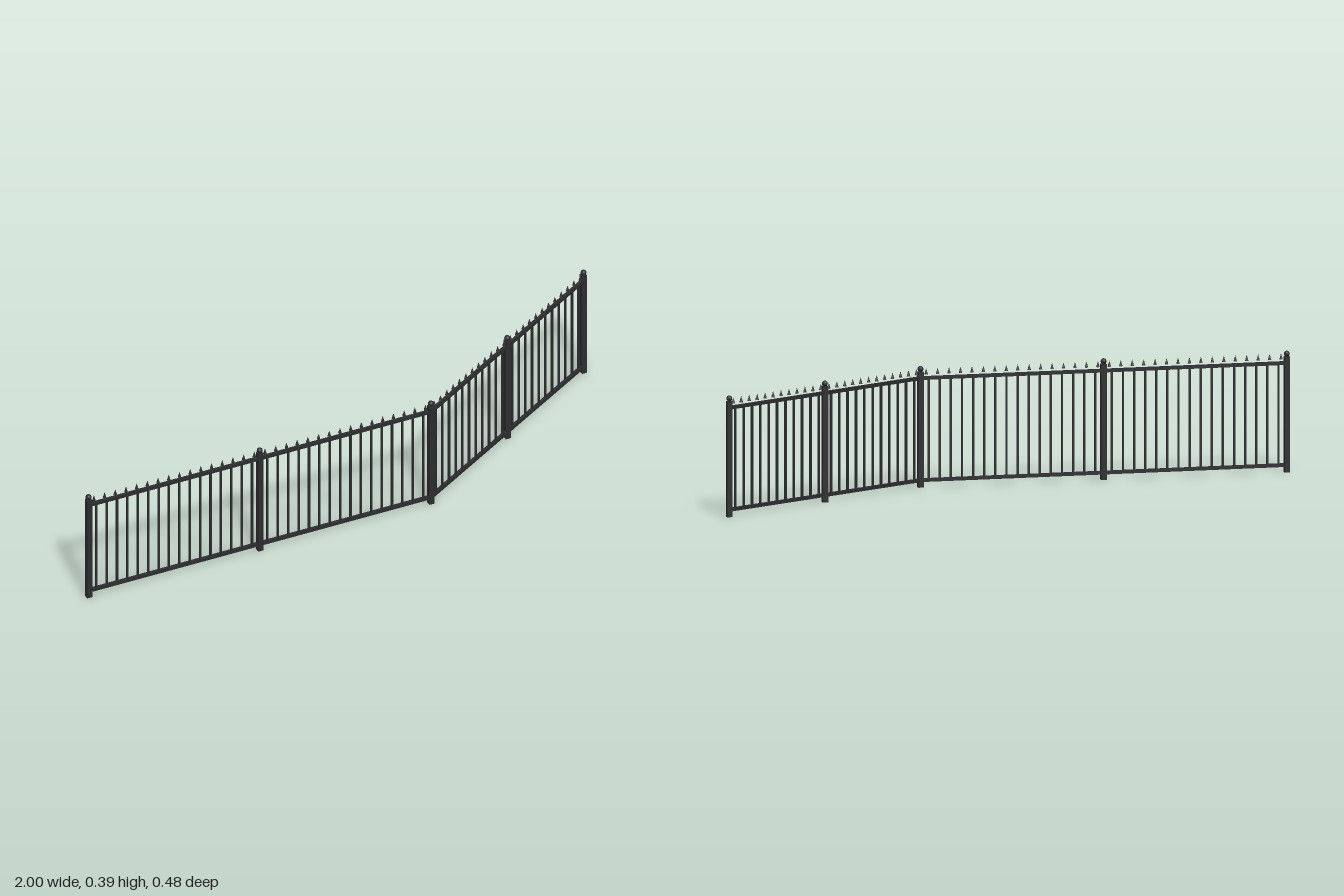
import * as THREE from 'three';

const iron = new THREE.MeshStandardMaterial({ color: 0x2c2c2f });
const POST = 0.018;

function add(parent, name, geometry, x, y, z) {
  const mesh = new THREE.Mesh(geometry, iron);
  mesh.name = name;
  mesh.position.set(x, y, z);
  parent.add(mesh);
}

// Square post with a ball finial
function makePost([x, z]) {
  const post = new THREE.Group();
  post.name = 'post';
  post.position.set(x, 0, z);
  add(post, 'postShaft', new THREE.BoxGeometry(POST, 0.373, POST), 0, 0.1865, 0);
  add(post, 'postBall', new THREE.SphereGeometry(0.0097, 12, 10), 0, 0.382, 0);
  return post;
}

// Panel between two post centres: two rails, upright pickets, a row of spikes
function makePanel([x0, z0], [x1, z1], pickets, spikes) {
  const panel = new THREE.Group();
  panel.name = 'panel';
  const length = Math.hypot(x1 - x0, z1 - z0);
  panel.position.set((x0 + x1) / 2, 0, (z0 + z1) / 2);
  panel.rotation.y = -Math.atan2(z1 - z0, x1 - x0);

  const rail = new THREE.BoxGeometry(length, 0.011, 0.011);
  add(panel, 'bottomRail', rail, 0, 0.023, 0);
  add(panel, 'topRail', rail, 0, 0.352, 0);

  const bar = new THREE.BoxGeometry(0.0062, 0.329, 0.0062);
  const clear = length - POST;
  for (let i = 0; i < pickets; i++) {
    add(panel, 'picket', bar, ((i + 0.5) / pickets - 0.5) * clear, 0.1875, 0);
  }

  const spike = new THREE.ConeGeometry(0.0058, 0.02, 8);
  for (let i = 0; i < spikes; i++) {
    add(panel, 'spike', spike, ((i + 0.5) / spikes - 0.5) * length, 0.374, 0);
  }
  return panel;
}

export function createModel() {
  const fence = new THREE.Group();
  fence.name = 'fence';
  // Straight run, then a run angled towards the back
  const points = [[-0.991, 0.229], [-0.383, 0.229], [0.225, 0.229], [0.608, 0], [0.991, -0.229]];
  points.forEach((p, i) => {
    fence.add(makePost(p));
    if (i === 0) return;
    const straight = i < 3;
    fence.add(makePanel(points[i - 1], p, straight ? 16 : 11, straight ? 16 : 12));
  });
  return fence;
}
